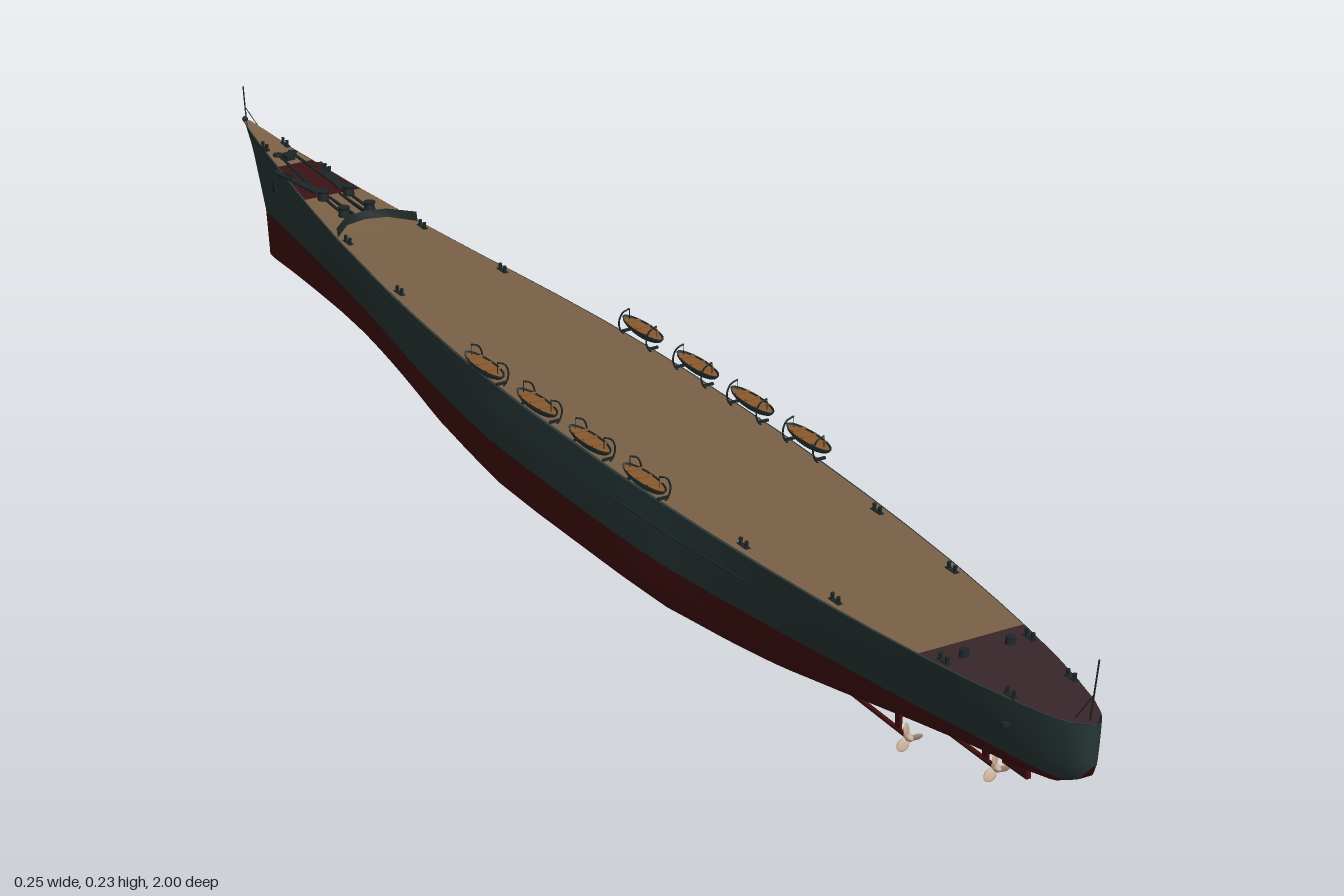
import * as THREE from 'three';

const mat = (name, color, side = THREE.FrontSide) => {
  const m = new THREE.MeshStandardMaterial({ color, side });
  m.name = name;
  return m;
};
const D = THREE.DoubleSide;
const grey = mat('slate grey', 0x2a3939, D), red = mat('bottom red', 0x470f10, D);
const wood = mat('deck wood', 0x7b6147, D), lino = mat('stern deck brown', 0x38262a, D);
const iron = mat('dark iron', 0x1d2627, D), cream = mat('propeller bronze', 0xc9ae96);
const oak = mat('boat wood', 0x8c5a2e, D), rust = mat('anchor deck red', 0x3a1316, D);

// Linear lookup in a list of [position, value] pairs
const look = (table, p) => {
  if (p <= table[0][0]) return table[0][1];
  for (let i = 1; i < table.length; i++) {
    const [a, va] = table[i - 1], [b, vb] = table[i];
    if (p <= b) return va + (vb - va) * (p - a) / (b - a);
  }
  return table[table.length - 1][1];
};
const BEAM = [[-1, 0.002], [-0.95, 0.011], [-0.9, 0.018], [-0.8, 0.033], [-0.7, 0.048], [-0.6, 0.062], [-0.5, 0.075],
  [-0.4, 0.088], [-0.3, 0.099], [-0.2, 0.108], [-0.1, 0.114], [0, 0.117], [0.2, 0.117], [0.3, 0.114], [0.4, 0.109],
  [0.5, 0.102], [0.6, 0.093], [0.7, 0.081], [0.77, 0.071], [0.85, 0.057], [0.9, 0.046], [0.95, 0.033], [0.98, 0.021],
  [0.993, 0.012], [1, 0]];
const KEEL = [[0.42, 0.008], [0.5, 0.011], [0.6, 0.021], [0.7, 0.035], [0.8, 0.048], [0.88, 0.056], [0.95, 0.068],
  [0.985, 0.084], [1, 0.105]];
const SHEER = [[-0.99, 0.184], [-0.9, 0.173], [-0.75, 0.162], [-0.6, 0.155], [-0.45, 0.152]];
const RAKE = [[0.008, 0], [0.077, 0.01], [0.11, 0.024], [0.15, 0.045], [0.184, 0.07]];
const FULL = [[0, 0.74], [0.05, 0.88], [0.12, 0.945], [0.25, 0.99], [0.5, 1], [0.75, 1], [1, 0.975]];
const FINE = [[0, 0.1], [0.05, 0.24], [0.12, 0.34], [0.25, 0.47], [0.5, 0.68], [0.75, 0.85], [1, 1]];
const FINENESS = [[-0.85, 1], [-0.6, 0.75], [-0.3, 0.2], [-0.1, 0], [0.3, 0], [0.6, 0.45], [0.85, 0.6], [1, 0.4]];

const deckY = z => look(SHEER, z);
const forward = (s, y) => s - look(RAKE, y) * Math.min(1, Math.max(0, (-0.6 - s) / 0.325)) ** 2;

// Point on the port side of the hull at station s and height y
function hullPoint(s, y) {
  const z = forward(s, y), keel = look(KEEL, s), top = deckY(forward(s, 0.184));
  const t = Math.min(1, Math.max(0, (y - keel) / (top - keel))), k = look(FINENESS, s);
  const f = look(FULL, t) * (1 - k) + look(FINE, t) * k;
  const tip = Math.min(1, (s + 0.925) / 0.02);
  return new THREE.Vector3(look(BEAM, z) * f * tip, y, z);
}

// Smooth surface from a grid of points
function surface(rows) {
  const pos = [], idx = [], n = rows[0].length;
  rows.forEach(r => r.forEach(p => pos.push(p.x, p.y, p.z)));
  for (let i = 0; i < rows.length - 1; i++) for (let j = 0; j < n - 1; j++) {
    const a = i * n + j, b = a + n;
    idx.push(a, a + 1, b, b, a + 1, b + 1);
  }
  const g = new THREE.BufferGeometry();
  g.setAttribute('position', new THREE.Float32BufferAttribute(pos, 3));
  g.setIndex(idx);
  g.computeVertexNormals();
  return g;
}
function add(parent, name, geo, material, x = 0, y = 0, z = 0) {
  const m = new THREE.Mesh(geo, material);
  m.name = name;
  m.position.set(x, y, z);
  parent.add(m);
  return m;
}
const v = (x, y, z) => new THREE.Vector3(x, y, z);
const tube = (pts, r, seg = 12) => new THREE.TubeGeometry(new THREE.CatmullRomCurve3(pts), seg, r, 6);
const flip = p => v(-p.x, p.y, p.z);
const cyl = (r1, r2, h, n = 12) => new THREE.CylinderGeometry(r1, r2, h, n);
const box = (w, h, d) => new THREE.BoxGeometry(w, h, d);

// Hull: red below the waterline, grey above, mirrored about the keel
function hull(g) {
  const stations = [];
  for (let i = 0; i <= 90; i++) stations.push(-0.925 + 1.925 * (0.5 - 0.5 * Math.cos(Math.PI * i / 90)));
  const lower = [], upper = [];
  for (const s of stations) {
    const keel = look(KEEL, s), wl = Math.max(0.077, keel), top = deckY(forward(s, 0.184)), a = [], b = [];
    a.push(v(0, keel, forward(s, keel)));
    for (let j = 0; j <= 12; j++) a.push(hullPoint(s, keel + (wl - keel) * (j / 12) ** 1.6));
    for (let j = 0; j <= 8; j++) b.push(hullPoint(s, wl + (top - wl) * j / 8));
    lower.push([...a.slice(1).reverse().map(flip), ...a]);
    upper.push(b);
  }
  add(g, 'lowerHull', surface(lower), red);
  add(g, 'portSide', surface(upper), grey);
  add(g, 'starboardSide', surface(upper.map(r => r.map(flip))), grey);
}

// Deck strip between two z positions, covering part of the beam
function deck(g, name, z0, z1, material, fit, lift) {
  const rows = [], n = Math.max(6, Math.ceil((z1 - z0) * 45));
  for (let i = 0; i <= n; i++) {
    const z = z0 + (z1 - z0) * i / n, k = look(FINENESS, z);
    const w = look(BEAM, z) * (0.975 + 0.025 * k) * fit, y = deckY(z) + lift;
    rows.push([v(-w, y, z), v(w, y, z)]);
  }
  add(g, name, surface(rows), material);
}

// Lifeboat slung between two curved davits
function lifeboat(side, z) {
  const b = new THREE.Group();
  b.name = 'lifeboat';
  const shell = add(b, 'boatShell', new THREE.SphereGeometry(1, 20, 8, 0, Math.PI * 2, Math.PI / 2, Math.PI / 2), grey, 0.112, 0.172, 0);
  shell.scale.set(0.012, 0.013, 0.046);
  const floor = add(b, 'boatFloor', new THREE.CircleGeometry(1, 20).rotateX(-Math.PI / 2), oak, 0.112, 0.17, 0);
  floor.scale.set(0.0105, 1, 0.042);
  for (const dz of [-0.022, 0, 0.022]) add(b, 'boatSeat', box(0.019, 0.0015, 0.004), oak, 0.112, 0.1722, dz);
  for (const dz of [-0.033, 0.033]) {
    add(b, 'davit', tube([v(0.106, 0.15, dz), v(0.099, 0.159, dz), v(0.097, 0.17, dz), v(0.102, 0.181, dz), v(0.112, 0.185, dz)], 0.0011), iron);
    add(b, 'fallRope', cyl(0.0005, 0.0005, 0.014, 5), iron, 0.112, 0.178, dz);
    add(b, 'cradle', box(0.014, 0.003, 0.003), iron, 0.107, 0.157, dz);
  }
  b.scale.x = side;
  b.position.z = z;
  return b;
}

// Three-bladed propeller with its shaft running forward into the hull
function propeller(g, x, y, z, shaftLength, turn) {
  const p = new THREE.Group();
  p.name = 'propeller';
  add(p, 'hub', new THREE.SphereGeometry(0.0045, 12, 8), cream).scale.z = 1.8;
  for (let i = 0; i < 3; i++) {
    const arm = new THREE.Group();
    arm.name = 'blade';
    const m = add(arm, 'bladeFace', new THREE.SphereGeometry(1, 12, 8), cream, 0, 0.0105, 0);
    m.scale.set(0.0065, 0.0085, 0.0012);
    m.rotation.y = 0.5;
    arm.rotation.z = turn + i * Math.PI * 2 / 3;
    p.add(arm);
  }
  p.position.set(x, y, z);
  g.add(p);
  add(g, 'shaft', tube([v(x, y, z), v(x * 0.95, y + 0.004, z - shaftLength)], 0.003, 2), red);
  add(g, 'shaftStrut', box(0.003, 0.032, 0.01), red, x, y + 0.016, z - 0.02);
}

export function createModel() {
  const g = new THREE.Group();
  g.name = 'shipHull';
  hull(g);

  // Decks, with a grey margin at the edge
  deck(g, 'deckMargin', -0.995, 1, grey, 1, -0.0004);
  deck(g, 'foredeck', -0.985, -0.84, wood, 0.93, 0.0008);
  deck(g, 'anchorDeck', -0.84, -0.73, rust, 0.93, 0.0008);
  deck(g, 'mainDeck', -0.73, 0.77, wood, 0.975, 0.0008);
  deck(g, 'sternDeck', 0.77, 0.998, lino, 0.98, 0.0008);

  // Side ledges
  for (const [z0, z1, y] of [[0.2, 0.47, 0.12], [-0.52, -0.18, 0.144]]) for (const side of [1, -1]) {
    const pts = [];
    for (let i = 0; i <= 8; i++) pts.push(hullPoint(z0 + (z1 - z0) * i / 8, y));
    add(g, 'sideLedge', tube(side > 0 ? pts : pts.map(flip), 0.0016, 20), iron);
  }

  // Lifeboats
  for (const side of [1, -1]) for (const z of [0.27, 0.145, 0.02, -0.11]) g.add(lifeboat(side, z));

  // Breakwater: a low bent wall across the foredeck
  const wall = [[-0.059, -0.6], [-0.03, -0.63], [0, -0.637], [0.03, -0.63], [0.059, -0.6]];
  add(g, 'breakwater', surface(wall.map(([x, z]) => [v(x, 0.154, z), v(x, 0.168, z - 0.004)])), iron);

  // Anchor gear, mirrored
  for (const side of [1, -1]) {
    const chain = [-0.64, -0.7, -0.76, -0.82, -0.87].map(z => v(side * (0.019 - Math.max(0, -z - 0.7) * 0.055), deckY(z) + 0.003, z));
    add(g, 'anchorChain', tube(chain, 0.002, 20), iron);
    for (const z of [-0.66, -0.72]) {
      add(g, 'capstan', cyl(0.006, 0.008, 0.011), iron, side * 0.019, deckY(z) + 0.006, z);
      add(g, 'capstanHead', cyl(0.008, 0.007, 0.003), iron, side * 0.019, deckY(z) + 0.012, z);
    }
    add(g, 'chainBar', box(0.003, 0.004, 0.075), iron, side * 0.009, deckY(-0.69) + 0.002, -0.69);
    add(g, 'deckPlate', box(0.012, 0.003, 0.1), iron, side * 0.024, deckY(-0.785) + 0.001, -0.785).rotation.y = -side * 0.14;
    add(g, 'hawseRim', new THREE.TorusGeometry(0.005, 0.002, 6, 14).rotateX(Math.PI / 2), iron, side * 0.011, deckY(-0.87) + 0.003, -0.87);
    const a = hullPoint(-0.84, 0.135);
    add(g, 'bowAnchor', box(0.005, 0.018, 0.006), iron, side * a.x, a.y, a.z);
    add(g, 'bowAnchorFlukes', box(0.005, 0.005, 0.018), iron, side * a.x, a.y - 0.007, a.z);
    const b = hullPoint(0.9, 0.12);
    add(g, 'sternAnchor', box(0.014, 0.004, 0.006), iron, side * (b.x + 0.001), b.y, b.z);

    // Bollard pairs along the deck edge
    for (const z of [-0.9, -0.8, -0.58, -0.4, 0.45, 0.62, 0.8, 0.9]) {
      const x = side * look(BEAM, z) * 0.85;
      add(g, 'bollardBase', box(0.006, 0.002, 0.02), iron, x, deckY(z) + 0.001, z);
      for (const dz of [-0.006, 0.006]) add(g, 'bollard', cyl(0.0025, 0.002, 0.008, 8), iron, x, deckY(z) + 0.005, z + dz);
    }
    add(g, 'sternWinch', cyl(0.005, 0.006, 0.009), iron, side * 0.03, deckY(0.8) + 0.005, 0.8);
  }
  add(g, 'bowFairlead', box(0.012, 0.005, 0.02), iron, 0, deckY(-0.86) + 0.003, -0.86);
  add(g, 'bowCap', new THREE.SphereGeometry(0.004, 10, 8), iron, 0, 0.185, -0.991);

  // Flag poles with stays
  add(g, 'bowPole', tube([v(0, 0.184, -0.987), v(0, 0.232, -0.994)], 0.001, 2), iron);
  add(g, 'sternPole', tube([v(0, 0.152, 0.988), v(0, 0.228, 0.999)], 0.001, 2), iron);
  for (const side of [1, -1]) {
    add(g, 'bowStay', tube([v(side * 0.008, 0.181, -0.968), v(0, 0.203, -0.99)], 0.0007, 2), iron);
    add(g, 'sternStay', tube([v(side * 0.01, 0.152, 0.975), v(0, 0.185, 0.993)], 0.0007, 2), iron);
  }

  // Propellers and rudder
  propeller(g, 0, 0.021, 0.825, 0.22, 0.2);
  propeller(g, 0.047, 0.025, 0.725, 0.2, -0.3);
  propeller(g, -0.047, 0.025, 0.725, 0.2, 0.3);
  add(g, 'rudder', box(0.006, 0.028, 0.045), red, 0, 0.049, 0.862);
  return g;
}
